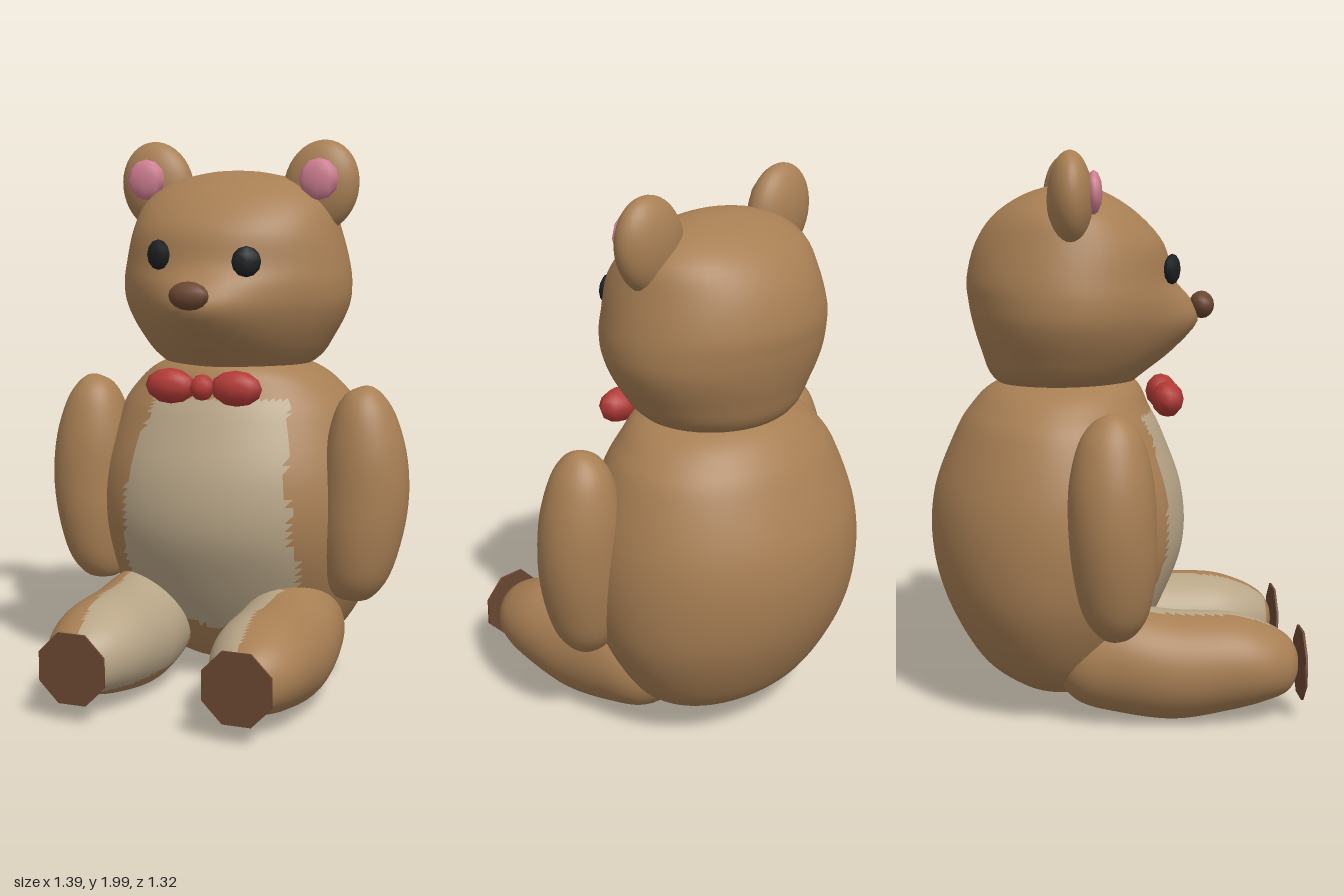
import * as THREE from 'three';

const mat = (name, color, side = THREE.FrontSide) => {
  const m = new THREE.MeshStandardMaterial({ color, side });
  m.name = name;
  return m;
};

// Smooth interpolation through the section rows
function resample(rows, steps) {
  const out = [];
  for (let i = 0; i < rows.length - 1; i++) {
    const [a, b, c, d] = [rows[Math.max(i - 1, 0)], rows[i], rows[i + 1], rows[Math.min(i + 2, rows.length - 1)]];
    for (let k = 0; k < steps; k++) {
      const t = k / steps;
      out.push(b.map((_, j) => b[j] + 0.5 * t * (c[j] - a[j]
        + t * (2 * a[j] - 5 * b[j] + 4 * c[j] - d[j] + t * (3 * (b[j] - c[j]) + d[j] - a[j])))));
    }
  }
  out.push(rows[rows.length - 1]);
  return out;
}

// Loft of oval sections. Row: [t, uMin, uMax, vMin, vMax, front bulge].
// place maps (t, u, v) to x, y, z; paint picks material 0 or 1 per face.
function loft(rows, { steps = 4, sides = 48, place = (t, u, v) => [u, t, v], paint = () => 0 } = {}) {
  const rings = resample(rows, steps);
  const pos = [];
  for (const [t, u0, u1, v0, v1, bulge = 0] of rings) {
    for (let j = 0; j < sides; j++) {
      const a = (j / sides) * Math.PI * 2;
      const u = (u0 + u1) / 2 + Math.sin(a) * (u1 - u0) / 2;
      let v = (v0 + v1) / 2 + Math.cos(a) * (v1 - v0) / 2;
      v += bulge * Math.exp(-((u / 0.22) ** 2)) * Math.max(0, Math.cos(a));
      pos.push(...place(t, u, v));
    }
  }
  const lists = [[], []];
  const face = (...f) => {
    const c = [0, 1, 2].map(k => f.reduce((s, i) => s + pos[i * 3 + k], 0) / 3);
    lists[paint(...c)].push(...f);
  };
  for (let i = 0; i < rings.length - 1; i++) {
    for (let j = 0; j < sides; j++) {
      const k = (j + 1) % sides;
      const a = i * sides + j, b = i * sides + k, c = b + sides, d = a + sides;
      face(a, b, c);
      face(a, c, d);
    }
  }
  // End caps
  const last = (rings.length - 1) * sides;
  for (let j = 1; j < sides - 1; j++) {
    face(0, j + 1, j);
    face(last, last + j, last + j + 1);
  }
  const g = new THREE.BufferGeometry();
  g.setAttribute('position', new THREE.Float32BufferAttribute(pos, 3));
  g.setIndex([...lists[0], ...lists[1]]);
  g.addGroup(0, lists[0].length, 0);
  g.addGroup(lists[0].length, lists[1].length, 1);
  g.computeVertexNormals();
  return g;
}

export function createModel() {
  const group = new THREE.Group();
  const fur = mat('brown fur', 0xa87f54);
  const cream = mat('cream fur', 0xb8a587);
  const sole = mat('dark brown', 0x6a4631);
  const pink = mat('pink', 0xd07f92);
  const black = mat('black', 0x1d2022);
  const red = mat('red', 0xb23a36);

  const add = (name, geometry, material, p = [0, 0, 0], s = [1, 1, 1], r = [0, 0, 0]) => {
    const m = new THREE.Mesh(geometry, material);
    m.name = name;
    m.position.set(...p);
    m.scale.set(...s);
    m.rotation.set(...r);
    group.add(m);
    return m;
  };
  const sym = rows => rows.map(([y, w, back, front, b = 0]) => [y, -w, w, back, front, b]);

  // Body with the cream belly
  const belly = (x, y, z) => {
    if (z < -0.1 || y > 1.08 || y < 0.22 + Math.abs(x) * 0.4) return 0;
    const zig = 0.03 * Math.abs(((y * 5) % 1) - 0.5);
    const edge = y > 0.5 ? 0.34 - 0.09 * (y - 0.5) : 0.34;
    return x > -edge + zig + Math.max(0, y - 0.8) * 0.2 && x < edge - zig ? 1 : 0;
  };
  add('body', loft(sym([
    [0.055, 0.02, -0.22, -0.18],
    [0.065, 0.15, -0.3, -0.07],
    [0.1, 0.27, -0.38, -0.01],
    [0.2, 0.4, -0.5, 0.07],
    [0.4, 0.51, -0.61, 0.18],
    [0.6, 0.545, -0.66, 0.255],
    [0.8, 0.53, -0.65, 0.25],
    [1.0, 0.465, -0.575, 0.18],
    [1.1, 0.4, -0.515, 0.13],
    [1.18, 0.3, -0.43, 0.09],
    [1.25, 0.1, -0.25, 0],
  ]), { steps: 7, sides: 96, paint: belly }), [fur, cream]);

  // Head with the muzzle bulge
  add('head', loft(sym([
    [1.12, 0.1, -0.3, 0],
    [1.2, 0.29, -0.43, 0.07, 0.02],
    [1.3, 0.37, -0.475, 0.14, 0.08],
    [1.4, 0.42, -0.505, 0.18, 0.13],
    [1.48, 0.43, -0.52, 0.2, 0.085],
    [1.56, 0.42, -0.525, 0.2, 0.02],
    [1.68, 0.39, -0.495, 0.185],
    [1.78, 0.35, -0.43, 0.1],
    [1.85, 0.25, -0.33, 0],
    [1.885, 0.11, -0.23, -0.09],
    [1.893, 0.01, -0.17, -0.15],
  ])), fur);

  const ball = new THREE.SphereGeometry(1, 28, 20);
  const bead = new THREE.SphereGeometry(1, 8, 6);

  for (const s of [1, -1]) {
    const side = s > 0 ? 'left' : 'right';
    const span = (a, b) => (s > 0 ? [a, b] : [-b, -a]);

    // Arm hanging beside the body
    add(side + 'Arm', loft([
      [0.35, 0.5, 0.52, -0.04, -0.02],
      [0.37, 0.43, 0.57, -0.08, 0.04],
      [0.45, 0.4, 0.63, -0.135, 0.09],
      [0.6, 0.38, 0.675, -0.17, 0.115],
      [0.75, 0.38, 0.693, -0.183, 0.115],
      [0.9, 0.39, 0.68, -0.18, 0.105],
      [1.03, 0.42, 0.64, -0.15, 0.075],
      [1.1, 0.46, 0.595, -0.105, 0.035],
      [1.128, 0.51, 0.56, -0.06, -0.01],
      [1.132, 0.53, 0.54, -0.04, -0.03],
    ].map(([y, a, b, z0, z1]) => [y, ...span(a, b), z0, z1]), { sides: 32 }), fur);

    // Outstretched leg with a cream inner face
    const inner = (x, y, z) => {
      const edge = s > 0 ? 0.27 + 0.05 * Math.abs(z - 0.35) : 0.33 - 0.1 * Math.max(0, z - 0.35);
      return z > 0.05 && z < 0.62 && Math.abs(x) < edge && y > 0.1 ? 1 : 0;
    };
    add(side + 'Leg', loft([
      [-0.25, 0.2, 0.24, 0.26, 0.3],
      [-0.15, 0.08, 0.36, 0.14, 0.42],
      [0, 0.035, 0.42, 0.11, 0.47],
      [0.2, 0.01, 0.395, 0.1, 0.49],
      [0.4, 0.04, 0.385, 0.115, 0.485],
      [0.52, 0.07, 0.35, 0.15, 0.46],
      [0.6, 0.1, 0.305, 0.2, 0.41],
      [0.635, 0.15, 0.255, 0.25, 0.355],
      [0.643, 0.19, 0.21, 0.29, 0.31],
    ].map(([z, y0, y1, a, b]) => [z, y0, y1, ...span(a, b)]),
    { steps: 6, sides: 56, place: (t, u, v) => [v, u, t], paint: inner }), [fur, cream]);

    // Flat sole in front of the foot
    const pad = new THREE.CylinderGeometry(1, 1, 0.008, 8);
    pad.rotateX(Math.PI / 2);
    add(side + 'Sole', pad, sole, [s * 0.3, 0.2, 0.654], [0.133, 0.135, 1], [0, 0, Math.PI / 8]);

    // Ear and its pink inside
    add(side + 'Ear', ball, fur, [s * 0.32, 1.835, -0.165], [0.14, 0.168, 0.078], [0, 0, -s * 0.25]);
    add(side + 'InnerEar', bead, pink, [s * 0.335, 1.86, -0.085], [0.075, 0.075, 0.03]);

    // Eye
    add(side + 'Eye', bead, black, [s * 0.165, s > 0 ? 1.575 : 1.595, 0.2], [0.052, 0.054, 0.028], [0, s * 0.4, 0]);

    // Bow loop
    add(side + 'BowLoop', bead, red, [s * 0.125, 1.13, 0.19], [0.097, 0.064, 0.058]);
  }

  add('bowKnot', bead, red, [0, 1.13, 0.2], [0.045, 0.047, 0.05]);
  add('nose', new THREE.SphereGeometry(1, 10, 8), sole, [0, 1.46, 0.325], [0.075, 0.05, 0.045]);

  return group;
}
